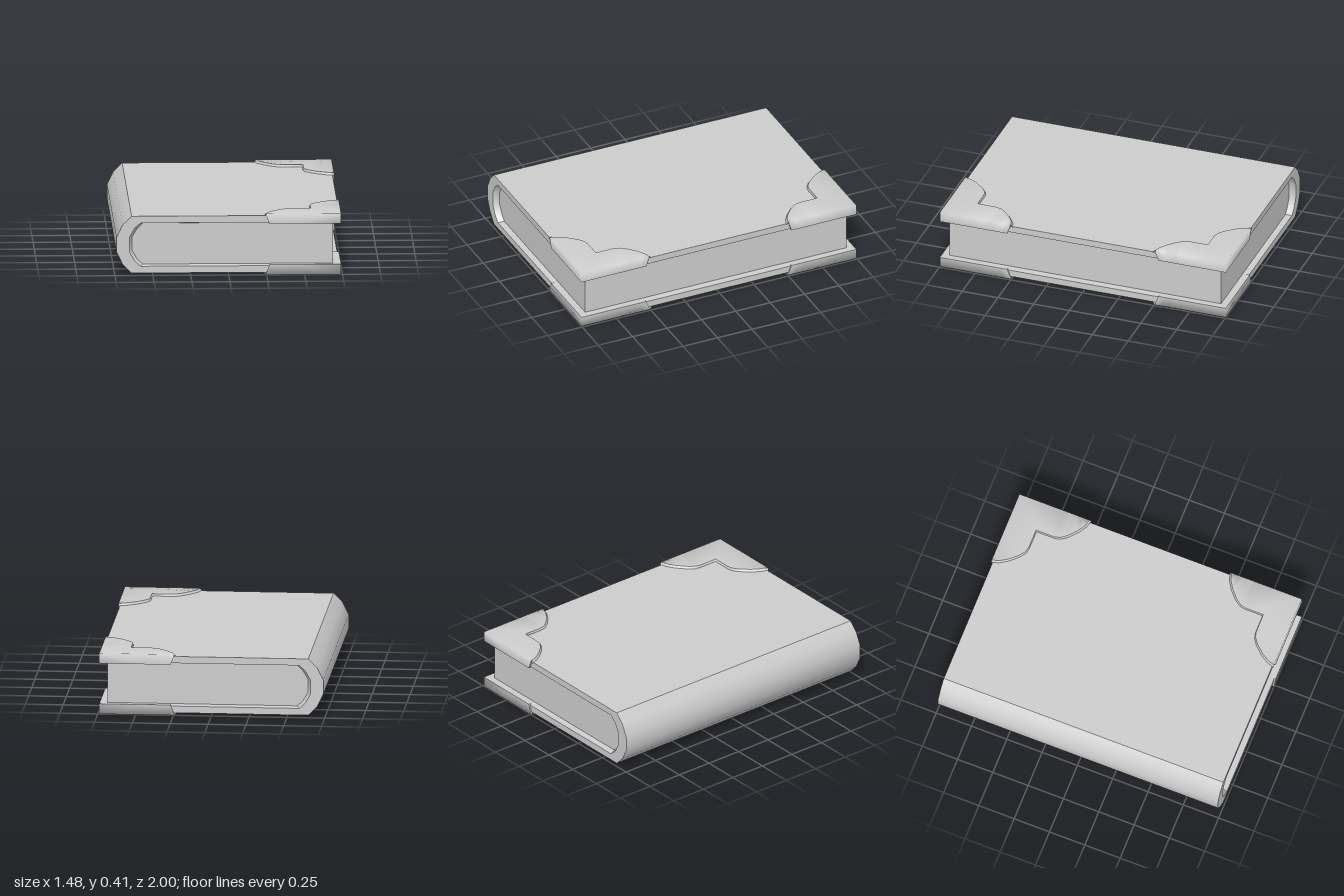
import * as THREE from 'three';
import { mergeGeometries, toCreasedNormals } from 'three/addons/utils/BufferGeometryUtils.js';

const material = new THREE.MeshStandardMaterial({ color: 0xcccccc, side: THREE.DoubleSide });
const CREASE = 0.6;

// Upper half of each C-shaped profile, mirrored in y: [x, y] from fore-edge round to the spine
const mirrorY = half => [...half, ...half.slice().reverse().map(([x, y]) => [x, -y])];
const coverOuter = mirrorY([[0.73, 0.19], [-0.64, 0.19], [-0.70, 0.13], [-0.74, 0.048]]);
const coverInner = mirrorY([[0.73, 0.145], [-0.58, 0.145], [-0.62, 0.11], [-0.655, 0.048]]);
const pageEdge = mirrorY([[0.69, 0.137], [-0.565, 0.137], [-0.602, 0.102], [-0.635, 0.045]]);

// Extrude a profile along z, centred
function extrude(points, depth) {
  const shape = new THREE.Shape(points.map(([x, y]) => new THREE.Vector2(x, y)));
  const geo = new THREE.ExtrudeGeometry(shape, { depth, bevelEnabled: false });
  geo.translate(0, 0, -depth / 2);
  return toCreasedNormals(geo, CREASE);
}

// Smooth skin through rows of [x, y, z] points
function skin(rows) {
  const n = rows[0].length, index = [];
  for (let r = 0; r < rows.length - 1; r++) {
    for (let i = 0; i < n - 1; i++) {
      const a = r * n + i, b = a + n;
      index.push(a, b, a + 1, b, b + 1, a + 1);
    }
  }
  const geo = new THREE.BufferGeometry();
  geo.setAttribute('position', new THREE.Float32BufferAttribute(rows.flat(2), 3));
  geo.setIndex(index);
  geo.computeVertexNormals();
  return geo;
}

// Closed ring: profile on the front end, then back along the rear end
function endRing(profile, z) {
  const front = profile.map(([x, y]) => [x, y, z]);
  const back = profile.slice().reverse().map(([x, y]) => [x, y, -z]);
  return [...front, ...back, front[0]];
}

// L-shaped corner guard: plate, rim, skirt and lip wrapped around one cover corner
function cornerGuardGeometry() {
  const arm = [[0.51, 0], [0.495, 0.05], [0.46, 0.105], [0.41, 0.16], [0.37, 0.19], [0.33, 0.2]];
  const swap = ([a, b]) => [b, a];
  const both = (half, elbow) => [...half, elbow, ...half.slice().reverse().map(swap)];
  // a, b are measured inward from the corner
  const place = (pts, y, s = 1) => pts.map(([a, b]) => [0.74 - a * s, y, 1 - b * s]);

  const outline = both(arm, [0.2, 0.2]);
  const edge = both(arm.map(([a]) => [a, 0]), [0, 0]);
  const lip = both(arm.map(([a]) => [a, 0.05]), [0.05, 0.05]);
  const top = 0.205, low = 0.136;

  // Slanted ends closing the skirt against the cover
  const tipOuter = [[0.74 - 0.497, top, 1], [0.74 - 0.47, low, 1]];
  const tipInner = tipOuter.map(([x, y]) => [x, y, 0.985]);
  const across = ([x, y, z]) => [z - 0.26, y, x + 0.26];

  return mergeGeometries([
    skin([place(outline, 0.188), place(outline, top, 0.975)]),
    skin([place(outline, top, 0.975), place(edge, top, 0.975), place(edge, low, 0.925)]),
    skin([place(edge, low, 0.925), place(lip, low, 0.925)]),
    skin([tipOuter, tipInner]),
    skin([tipInner.map(across), tipOuter.map(across)]),
  ]);
}

export function createModel() {
  const book = new THREE.Group();
  book.name = 'book';
  const add = (name, geo) => {
    const mesh = new THREE.Mesh(geo, material);
    mesh.name = name;
    book.add(mesh);
    return mesh;
  };

  // Cover with faceted round spine
  add('cover', extrude([...coverOuter, ...coverInner.slice().reverse()], 1.98));

  // Page block, and the sloped lining between it and the cover edge
  add('pages', extrude(pageEdge, 1.9));
  const lining = skin([endRing(pageEdge, 0.95), endRing(coverInner, 0.99)]);
  add('coverLining', toCreasedNormals(lining, CREASE));

  // Four guards on the fore-edge corners
  const guard = cornerGuardGeometry();
  for (const [level, sy] of [['top', 1], ['bottom', -1]]) {
    for (const [end, sz] of [['Front', 1], ['Back', -1]]) {
      add(`${level}${end}CornerGuard`, guard).scale.set(1, sy, sz);
    }
  }

  book.children.forEach(part => { part.position.y = 0.205; });
  return book;
}
